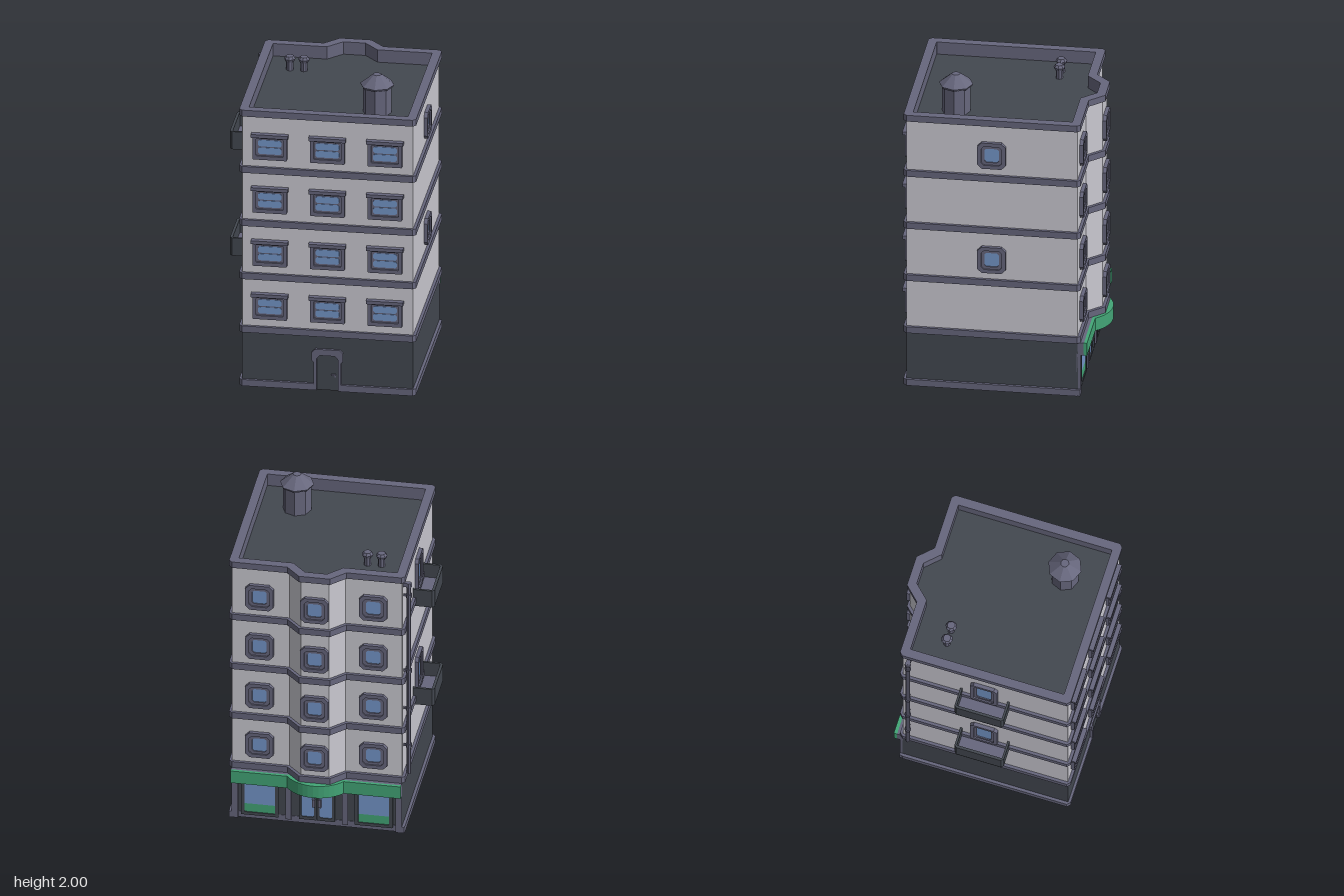
import * as THREE from 'three';

const mat = (name, color) => {
  const m = new THREE.MeshStandardMaterial({ color });
  m.name = name;
  return m;
};

export function createModel() {
  const root = new THREE.Group();
  root.name = 'apartmentBuilding';
  const wall = mat('wallPlaster', 0xcbcad2), trim = mat('trimGrey', 0x67677d), dark = mat('darkSlate', 0x434850);
  const glass = mat('windowGlass', 0x7597ca), green = mat('awningGreen', 0x43a677);

  const add = (parent, name, geo, material, x = 0, y = 0, z = 0) => {
    const m = new THREE.Mesh(geo, material);
    m.name = name;
    m.position.set(x, y, z);
    parent.add(m);
    return m;
  };
  const box = (parent, name, material, w, h, d, x, y, z) =>
    add(parent, name, new THREE.BoxGeometry(w, h, d), material, x, y, z);
  const cyl = (parent, name, material, rTop, rBottom, h, x, y, z) =>
    add(parent, name, new THREE.CylinderGeometry(rTop, rBottom, h, 8).toNonIndexed(), material, x, y, z).geometry.computeVertexNormals();

  const shapeOf = (pts, hole) => {
    const s = new THREE.Shape(pts.map(p => new THREE.Vector2(...p)));
    if (hole) s.holes.push(new THREE.Path(hole.map(p => new THREE.Vector2(...p))));
    return s;
  };
  const extrude = (pts, depth, hole) =>
    new THREE.ExtrudeGeometry(shapeOf(pts, hole), { depth, bevelEnabled: false });
  // Slab from a floor plan given as [x, z] points, between two heights
  const slab = (parent, name, material, plan, y0, y1, hole) => {
    const flip = a => a && a.map(([x, z]) => [x, -z]);
    return add(parent, name, extrude(flip(plan), y1 - y0, flip(hole)).rotateX(-Math.PI / 2), material, 0, y0, 0);
  };

  // Floor plan with the rear bay, moved inwards by i; c chamfers the corners
  const bayX = 0.053;
  const plan = (i, c = 0.001) => {
    const l = -0.49 + i, r = 0.6 - i, f = 0.6 - i, b = -0.49 + i, w = 0.183 - i / 2, n = 0.096 - i / 2;
    return [[l + c, f], [r - c, f], [r, f - c], [r, b + c], [r - c, b], [bayX + w, b], [bayX + n, b - 0.09],
      [bayX - n, b - 0.09], [bayX - w, b], [l + c, b], [l, b + c], [l, f - c]];
  };

  // Ground floor, with a plinth notched at the front door
  box(root, 'groundFloor', dark, 1.054, 0.34, 1.058, 0.055, 0.19, 0.054);
  slab(root, 'plinth', trim, [[-0.47, 0.6], [-0.012, 0.6], [-0.012, 0.57], [0.122, 0.57], [0.122, 0.6], [0.58, 0.6],
    [0.6, 0.58], [0.6, -0.47], [0.585, -0.478], [-0.475, -0.478], [-0.49, -0.47], [-0.49, 0.58]], 0, 0.042);

  // Upper walls, floor bands, roof and parapet
  slab(root, 'upperWalls', wall, plan(0.018), 0.36, 1.74);
  for (let k = 0; k < 4; k++) {
    const y = 0.356 + k * 0.3533;
    slab(root, 'floorBand', trim, plan(0, 0.02), y, y + 0.042);
  }
  slab(root, 'upperWallTop', wall, plan(0.018), 1.74, 1.8, plan(0.05));
  slab(root, 'roofDeck', dark, plan(0.046), 1.735, 1.75);
  slab(root, 'parapetLining', trim, plan(0.045), 1.745, 1.82, plan(0.055));
  slab(root, 'parapet', trim, plan(0, 0.02), 1.79, 1.832, plan(0.055));

  // Rectangle with cut corners, centred on the origin
  const cutRect = (w, h, c) => {
    const a = w / 2, b = h / 2;
    return [[-a + c, -b], [a - c, -b], [a, -b + c], [a, b - c], [a - c, b], [-a + c, b], [-a, b - c], [-a, -b + c]];
  };
  const holder = (name, x, y, z, turn) => {
    const g = new THREE.Group();
    g.name = name;
    g.position.set(x, y, z);
    g.rotation.y = turn;
    root.add(g);
    return g;
  };
  const squareWindow = (x, y, z, turn) => {
    const g = holder('squareWindow', x, y, z, turn);
    add(g, 'windowFrame', extrude(cutRect(0.174, 0.174, 0.026), 0.023, cutRect(0.126, 0.126, 0.016)), trim);
    add(g, 'windowSash', extrude(cutRect(0.13, 0.13, 0.016), 0.014, cutRect(0.09, 0.092, 0.012)), trim);
    box(g, 'windowPane', glass, 0.1, 0.1, 0.006, 0, 0, 0.004);
  };
  const wideWindow = (x, y, z) => {
    const g = holder('wideWindow', x, y, z, 0);
    add(g, 'windowFrame', extrude(cutRect(0.212, 0.164, 0.004), 0.02, cutRect(0.168, 0.116, 0.004)), trim);
    box(g, 'windowLintel', trim, 0.228, 0.022, 0.034, 0, 0.078, 0.017);
    box(g, 'windowSash', trim, 0.172, 0.12, 0.008, 0, 0, 0.004);
    for (const s of [-1, 1])
      add(g, 'windowPane', extrude(cutRect(0.146, 0.043, 0.01), 0.004), glass, 0, s * 0.025, 0.007);
  };

  for (let k = 0; k < 4; k++) {
    const y = 0.532 + k * 0.3533;
    for (const x of [-0.3, 0.055, 0.41]) wideWindow(x, y, 0.582);
    for (const x of [-0.295, 0.41]) squareWindow(x, y, -0.472, Math.PI);
    squareWindow(bayX, y, -0.562, Math.PI);
  }

  // Side windows on the left wall, balconies with doors on the right wall
  for (const k of [1, 3]) {
    const y = 0.532 + k * 0.3533;
    squareWindow(0.582, y, 0.056, Math.PI / 2);
    const d = holder('balconyDoor', -0.472, y - 0.035, 0.05, -Math.PI / 2);
    add(d, 'doorFrame', extrude(cutRect(0.174, 0.244, 0.022), 0.023, cutRect(0.126, 0.196, 0.014)), trim);
    add(d, 'doorSash', extrude(cutRect(0.13, 0.2, 0.014), 0.014, cutRect(0.09, 0.16, 0.012)), trim);
    box(d, 'doorPane', glass, 0.1, 0.17, 0.006, 0, 0, 0.004);
    const y0 = y - 0.195;
    const outer = [[-0.47, -0.105], [-0.59, -0.105], [-0.605, -0.09], [-0.605, 0.195], [-0.59, 0.21], [-0.47, 0.21]];
    const inner = [[-0.47, 0.196], [-0.588, 0.196], [-0.588, -0.091], [-0.47, -0.091]];
    slab(root, 'balconyRail', dark, [...outer, ...inner], y0, y0 + 0.117);
    slab(root, 'balconyBase', dark, inner, y0, y0 + 0.012);
    slab(root, 'balconyFloor', trim, inner, y0 + 0.012, y0 + 0.024);
  }

  // Front door with a stepped arch
  const door = holder('frontDoor', 0.055, 0, 0.58, 0);
  add(door, 'doorSurround', extrude([[-0.084, 0.04], [-0.066, 0.04], [-0.066, 0.21], [-0.046, 0.232], [0.046, 0.232],
    [0.066, 0.21], [0.066, 0.04], [0.084, 0.04], [0.084, 0.185], [0.096, 0.197], [0.096, 0.25], [0.074, 0.272],
    [-0.074, 0.272], [-0.096, 0.25], [-0.096, 0.197], [-0.084, 0.185]], 0.02), trim);
  box(door, 'doorLeaf', dark, 0.132, 0.232, 0.006, 0, 0.116, 0.004);
  box(door, 'doorHandle', trim, 0.03, 0.009, 0.008, 0.038, 0.106, 0.014);
  box(door, 'doorLock', trim, 0.01, 0.02, 0.01, 0.048, 0.1, 0.01);

  // Shop front on the back: pillars, display windows and a double door
  const shop = new THREE.Group();
  shop.name = 'shopFront';
  root.add(shop);
  for (const s of [-1, 1]) {
    box(shop, 'cornerPillar', trim, 0.04, 0.28, 0.025, 0.055 + s * 0.507, 0.14, -0.478);
    box(shop, 'pillarFoot', trim, 0.055, 0.042, 0.03, 0.055 + s * 0.515, 0.021, -0.475);
    box(shop, 'innerPillar', trim, 0.035, 0.26, 0.02, 0.055 + s * 0.175, 0.15, -0.478);
    const w = holder('displayWindow', 0.055 + s * 0.352, 0.16, -0.474, Math.PI);
    add(w, 'displayFrame', extrude(cutRect(0.235, 0.27, 0.003), 0.012, cutRect(0.19, 0.23, 0.003)), dark);
    box(w, 'displayGlass', glass, 0.195, 0.175, 0.006, 0, 0.03, 0.003);
    box(w, 'displayPanel', green, 0.195, 0.06, 0.006, 0, -0.0875, 0.003);
    const leaf = holder('shopDoorLeaf', 0.055 + s * 0.056, 0.155, -0.474, Math.PI);
    add(leaf, 'leafFrame', extrude(cutRect(0.11, 0.25, 0.002), 0.012, cutRect(0.08, 0.21, 0.008)), dark);
    box(leaf, 'leafGlass', glass, 0.086, 0.215, 0.006, 0, 0, 0.003);
    box(leaf, 'leafHandle', trim, 0.018, 0.055, 0.014, s * 0.037, 0, 0.017);
  }

  // Awning with a bowed middle
  const bow = [];
  for (let k = 0; k <= 12; k++) {
    const a = 0.904 * (1 - k / 6);
    bow.push([0.055 + 0.2226 * Math.sin(a), -0.392 - 0.2226 * Math.cos(a)]);
  }
  slab(root, 'awning', green, [[-0.472, -0.508], [0.582, -0.508], [0.582, -0.53], ...bow, [-0.472, -0.53]], 0.27, 0.355);
  box(root, 'awningBacking', trim, 1.054, 0.085, 0.04, 0.055, 0.3125, -0.49);

  // Drainpipe on the right wall
  cyl(root, 'drainpipe', trim, 0.014, 0.014, 1.35, -0.506, 1.075, -0.43);
  for (const y of [0.6, 0.865, 1.135, 1.675]) {
    cyl(root, 'pipeCollar', trim, 0.02, 0.02, 0.022, -0.506, y, -0.43);
    box(root, 'pipeBracket', trim, 0.035, 0.012, 0.012, -0.485, y, -0.43);
  }
  cyl(root, 'pipeElbow', trim, 0.017, 0.02, 0.025, -0.506, 1.752, -0.43);
  box(root, 'pipeInlet', trim, 0.05, 0.026, 0.026, -0.488, 1.752, -0.43);

  // Roof tank and vents
  cyl(root, 'roofTank', trim, 0.088, 0.088, 0.18, 0.32, 1.838, 0.315);
  cyl(root, 'tankBrim', trim, 0.105, 0.098, 0.014, 0.32, 1.929, 0.315);
  cyl(root, 'tankRoof', trim, 0.026, 0.105, 0.064, 0.32, 1.968, 0.315);
  for (const x of [-0.303, -0.216]) {
    cyl(root, 'ventPipe', trim, 0.022, 0.022, 0.07, x, 1.783, -0.243);
    cyl(root, 'ventCap', trim, 0.036, 0.028, 0.018, x, 1.817, -0.243);
    cyl(root, 'ventTop', trim, 0.024, 0.036, 0.016, x, 1.834, -0.243);
  }
  return root;
}
